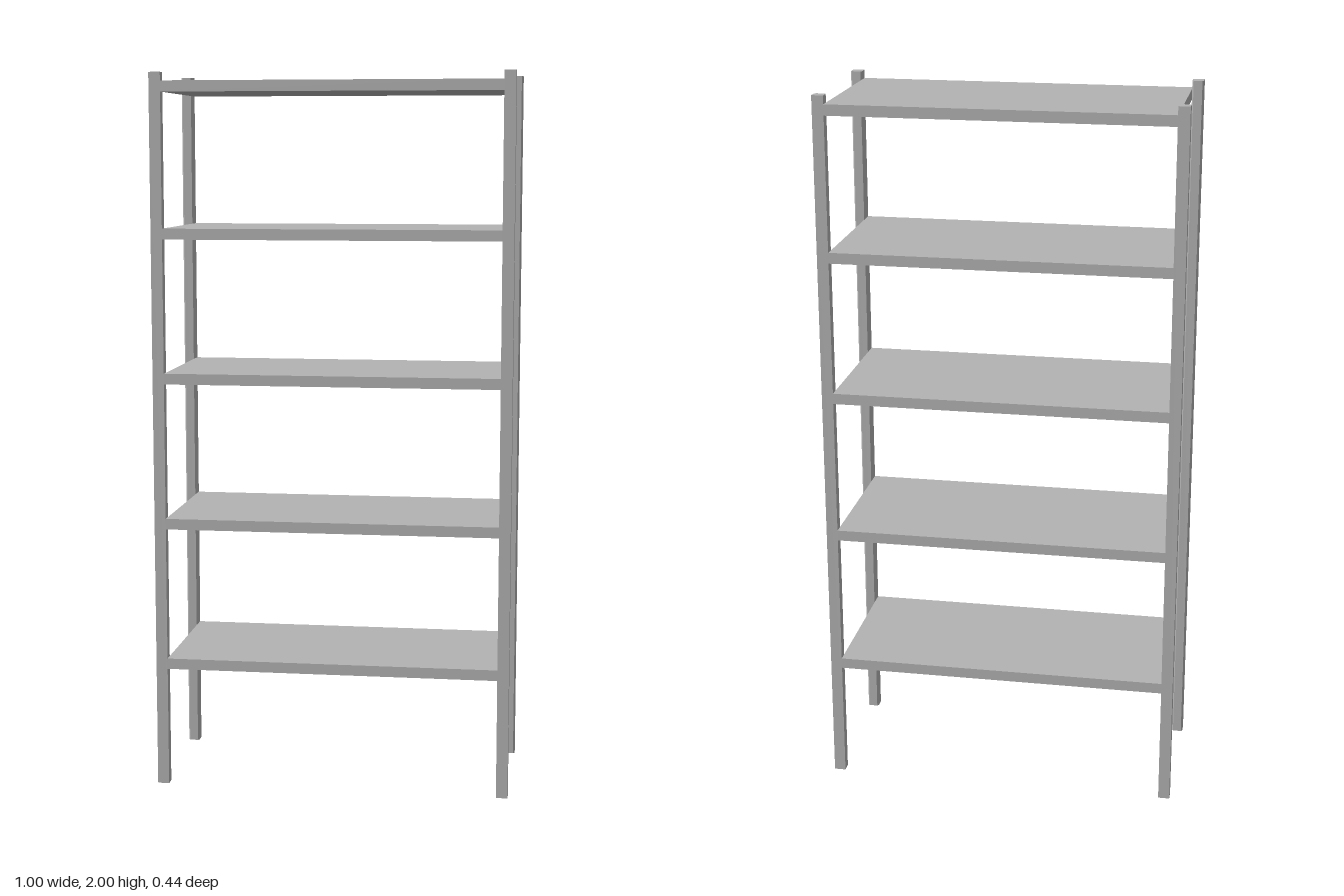
import * as THREE from 'three';

export function createModel() {
  const model = new THREE.Group();
  model.name = 'shelvingUnit';
  const metal = new THREE.MeshStandardMaterial({ color: 0xb3b3b3 });
  metal.name = 'grey metal';

  const halfWidth = 0.498, halfDepth = 0.221, post = 0.032, height = 2, bevel = 0.004;

  // Post section: square, with the two corners facing the middle of the unit cut off
  const h = post / 2;
  const section = new THREE.Shape([
    [-h, -h], [h, -h], [h, h - bevel], [h - bevel, h], [-h + bevel, h], [-h, h - bevel],
  ].map(([x, y]) => new THREE.Vector2(x, y)));
  const postGeometry = new THREE.ExtrudeGeometry(section, { depth: height, bevelEnabled: false });
  postGeometry.rotateX(-Math.PI / 2); // the cut corners now face -z

  // Four corner posts
  for (const sx of [-1, 1]) {
    for (const sz of [-1, 1]) {
      const leg = new THREE.Mesh(postGeometry, metal);
      leg.name = (sz > 0 ? 'front' : 'back') + (sx > 0 ? 'Left' : 'Right') + 'Post';
      leg.position.set(sx * (halfWidth - h), 0, sz * (halfDepth - h));
      if (sz < 0) leg.rotation.y = Math.PI;
      model.add(leg);
    }
  }

  // Five shelves held between the posts
  const thickness = 0.03;
  const shelfGeometry = new THREE.BoxGeometry(2 * (halfWidth - post), thickness, 2 * halfDepth);
  [0.366, 0.768, 1.177, 1.577, 1.977].forEach((top, i) => {
    const shelf = new THREE.Mesh(shelfGeometry, metal);
    shelf.name = 'shelf' + (i + 1);
    shelf.position.y = top - thickness / 2;
    model.add(shelf);
  });

  return model;
}
